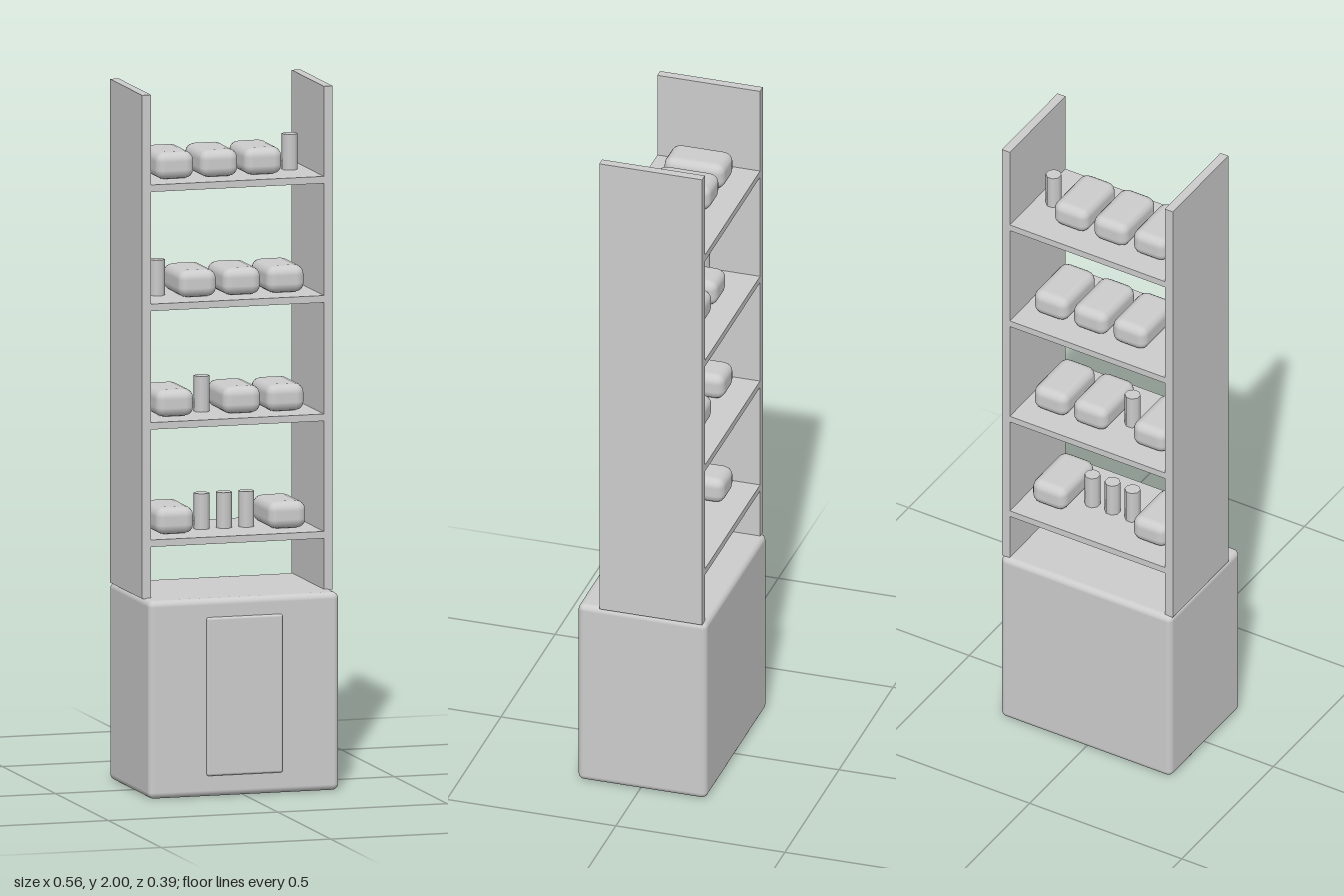
import * as THREE from 'three';
import { RoundedBoxGeometry } from 'three/addons/geometries/RoundedBoxGeometry.js';

export function createModel() {
  const group = new THREE.Group();
  const grey = new THREE.MeshStandardMaterial({ color: 0xcccccc });
  grey.name = 'light grey';

  const add = (name, geometry, x, y, z) => {
    const mesh = new THREE.Mesh(geometry, grey);
    mesh.name = name;
    mesh.position.set(x, y, z);
    group.add(mesh);
  };

  // Rounded cabinet with a raised door panel
  add('baseCabinet', new RoundedBoxGeometry(0.562, 0.565, 0.382, 3, 0.018), 0, 0.2825, -0.006);
  add('cabinetDoor', new RoundedBoxGeometry(0.224, 0.452, 0.03, 2, 0.007), 0, 0.286, 0.179);

  // Tall side panels
  for (const [name, side] of [['leftPanel', 1], ['rightPanel', -1]]) {
    add(name, new THREE.BoxGeometry(0.026, 1.437, 0.304), side * 0.268, 1.2815, -0.033);
  }

  // Shelves (top height) with the x positions of their boxes and canisters
  const shelves = [
    { top: 0.73, boxes: [-0.16, 0.171], cans: [-0.058, 0.008, 0.074] },
    { top: 1.065, boxes: [-0.16, 0.037, 0.166], cans: [-0.058] },
    { top: 1.403, boxes: [-0.093, 0.037, 0.166], cans: [-0.19] },
    { top: 1.743, boxes: [-0.16, -0.03, 0.1], cans: [0.202] },
  ];
  const shelfGeometry = new THREE.BoxGeometry(0.512, 0.02, 0.304);
  const boxGeometry = new RoundedBoxGeometry(0.112, 0.078, 0.18, 2, 0.027);
  const canGeometry = new THREE.CylinderGeometry(0.0225, 0.0225, 0.102, 8).rotateY(Math.PI / 8);
  for (const { top, boxes, cans } of shelves) {
    add('shelf', shelfGeometry, 0, top - 0.01, -0.033);
    for (const x of boxes) add('storageBox', boxGeometry, x, top + 0.039, -0.033);
    for (const x of cans) add('canister', canGeometry, x, top + 0.051, -0.034);
  }
  return group;
}
